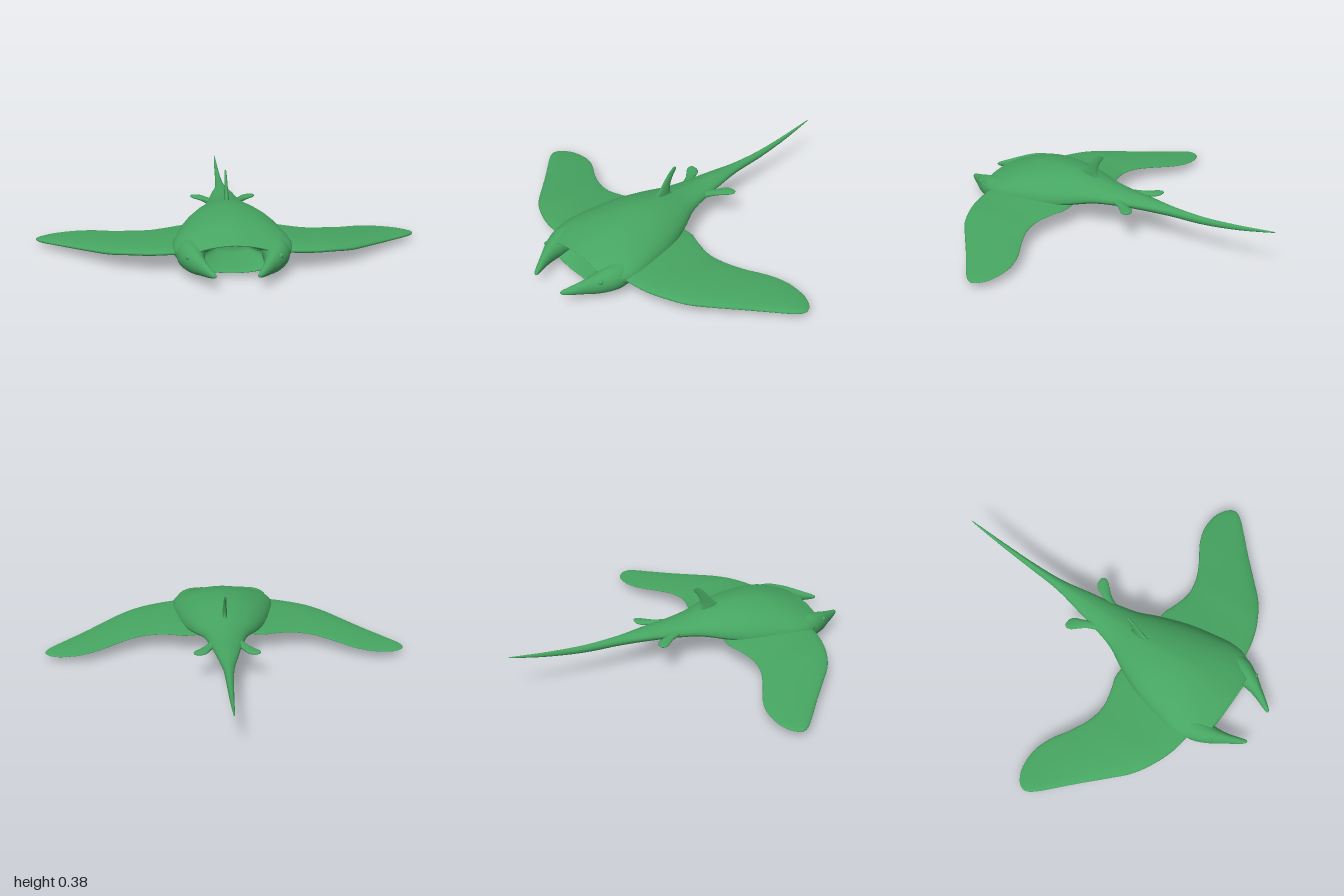
import * as THREE from 'three';

const green = new THREE.MeshStandardMaterial({ color: 0x46a561 });
green.name = 'rayGreen';

// Smoothly samples every column of a station table at t = 0..1
function sampler(stations) {
  const curves = stations[0].map((_, c) =>
    new THREE.SplineCurve(stations.map((s, i) => new THREE.Vector2(i, s[c]))));
  return t => curves.map(c => c.getPoint(t).y);
}

// Closed loft: ring(values, angle) gives a point on each cross-section; always faces outward
function loft(name, stations, ring, steps = 40, sides = 32) {
  const at = sampler(stations), pos = [], idx = [];
  for (let i = 0; i <= steps; i++) {
    const v = at(i / steps);
    for (let j = 0; j < sides; j++) pos.push(...ring(v, j / sides * Math.PI * 2));
  }
  for (let i = 0; i < steps; i++) for (let j = 0; j < sides; j++) {
    const a = i * sides + j, b = i * sides + (j + 1) % sides;
    idx.push(a, b, a + sides, b, b + sides, a + sides);
  }
  // End caps
  for (const [row, flip] of [[0, true], [steps, false]]) {
    const centre = pos.length / 3, sum = [0, 0, 0];
    for (let j = 0; j < sides; j++) for (let k = 0; k < 3; k++) sum[k] += pos[(row * sides + j) * 3 + k] / sides;
    pos.push(...sum);
    for (let j = 0; j < sides; j++) {
      const a = row * sides + j, b = row * sides + (j + 1) % sides;
      idx.push(centre, ...(flip ? [b, a] : [a, b]));
    }
  }
  // Signed volume tells whether the winding must be reversed
  const p = i => new THREE.Vector3().fromArray(pos, i * 3);
  let volume = 0;
  for (let i = 0; i < idx.length; i += 3) volume += p(idx[i]).dot(p(idx[i + 1]).cross(p(idx[i + 2])));
  if (volume < 0) idx.reverse();
  const g = new THREE.BufferGeometry();
  g.setAttribute('position', new THREE.Float32BufferAttribute(pos, 3));
  g.setIndex(idx);
  g.computeVertexNormals();
  const mesh = new THREE.Mesh(g, green);
  mesh.name = name;
  return mesh;
}

const power = (v, e) => Math.sign(v) * Math.abs(v) ** e;

export function createModel() {
  const model = new THREE.Group();
  model.name = 'mantaRay';

  // Body and tail: z, half width, top, bottom, height of the widest line.
  // The first rows run backwards from the throat to the lip.
  const body = [
    [0.56, 0.08, 0.13, 0.07, 0.10],
    [0.66, 0.13, 0.145, 0.06, 0.105],
    [0.75, 0.18, 0.16, 0.045, 0.11],
    [0.775, 0.205, 0.168, 0.034, 0.11],
    [0.755, 0.245, 0.178, 0.028, 0.11],
    [0.68, 0.285, 0.207, 0.017, 0.115],
    [0.60, 0.295, 0.234, 0.009, 0.115],
    [0.50, 0.28, 0.256, 0.015, 0.115],
    [0.35, 0.245, 0.265, 0.045, 0.12],
    [0.20, 0.185, 0.25, 0.10, 0.14],
    [0.08, 0.125, 0.23, 0.125, 0.16],
    [-0.05, 0.09, 0.217, 0.138, 0.17],
    [-0.20, 0.06, 0.211, 0.146, 0.178],
    [-0.36, 0.03, 0.203, 0.152, 0.178],
    [-0.55, 0.018, 0.2, 0.16, 0.18],
    [-0.75, 0.011, 0.215, 0.188, 0.2],
    [-0.93, 0.004, 0.236, 0.227, 0.232],
    [-0.965, 0.001, 0.24, 0.237, 0.239],
  ];
  model.add(loft('bodyAndTail', body, ([z, w, top, bottom, mid], a) => {
    const c = Math.cos(a), s = Math.sin(a);
    return [w * power(c, s > 0 ? 1.2 : 0.9), mid + (s > 0 ? top - mid : mid - bottom) * s, z];
  }, 110, 40));

  // Dorsal fin: y, front z, rear z, half thickness
  const dorsal = [
    [0.21, 0.27, 0.10, 0.014],
    [0.25, 0.245, 0.135, 0.013],
    [0.29, 0.205, 0.135, 0.010],
    [0.33, 0.172, 0.12, 0.008],
    [0.365, 0.14, 0.095, 0.006],
    [0.38, 0.12, 0.093, 0.005],
    [0.386, 0.108, 0.1, 0.002],
  ];
  model.add(loft('dorsalFin', dorsal, ([y, z0, z1, h], a) =>
    [h * Math.sin(a), y, (z0 + z1) / 2 + (z0 - z1) / 2 * Math.cos(a)], 24, 20));

  // Wing: x, leading z, trailing z, height, half thickness
  const wing = [
    [0.12, 0.66, 0.20, 0.115, 0.035],
    [0.22, 0.69, 0.19, 0.112, 0.032],
    [0.30, 0.69, 0.215, 0.108, 0.028],
    [0.40, 0.67, 0.235, 0.100, 0.027],
    [0.50, 0.63, 0.218, 0.093, 0.027],
    [0.60, 0.57, 0.17, 0.080, 0.026],
    [0.70, 0.475, 0.108, 0.068, 0.024],
    [0.80, 0.375, 0.073, 0.057, 0.021],
    [0.90, 0.28, 0.075, 0.048, 0.017],
    [0.96, 0.222, 0.098, 0.043, 0.014],
    [0.99, 0.185, 0.125, 0.041, 0.009],
    [1.00, 0.16, 0.147, 0.040, 0.003],
  ];

  // Head horn: z, centre x, half width, top, bottom
  const horn = [
    [0.64, 0.205, 0.070, 0.175, 0.04],
    [0.72, 0.205, 0.066, 0.168, 0.035],
    [0.80, 0.185, 0.047, 0.147, 0.040],
    [0.86, 0.158, 0.031, 0.125, 0.050],
    [0.91, 0.132, 0.022, 0.106, 0.057],
    [0.95, 0.110, 0.014, 0.09, 0.065],
    [0.963, 0.103, 0.005, 0.082, 0.071],
  ];

  // Pelvic fin: inner x and z, outer x and z, height, half thickness
  const pelvic = [
    [0.03, -0.06, 0.06, 0.05, 0.172, 0.022],
    [0.055, -0.08, 0.085, -0.02, 0.174, 0.018],
    [0.085, -0.125, 0.112, -0.08, 0.175, 0.014],
    [0.105, -0.17, 0.145, -0.12, 0.176, 0.011],
    [0.13, -0.19, 0.172, -0.15, 0.177, 0.009],
    [0.158, -0.192, 0.178, -0.172, 0.178, 0.006],
    [0.168, -0.19, 0.174, -0.184, 0.178, 0.002],
  ];

  for (const [side, s] of [['left', 1], ['right', -1]]) {
    model.add(loft(side + 'Wing', wing, ([x, z0, z1, y, h], a) => {
      const c = Math.cos(a);
      // Thicker towards the leading edge
      return [s * x, y + h * Math.sin(a) * (0.8 + 0.3 * c), (z0 + z1) / 2 + (z0 - z1) / 2 * c];
    }, 48, 32));

    model.add(loft(side + 'HeadHorn', horn, ([z, x, w, top, bottom], a) =>
      [s * (x + w * Math.cos(a)), (top + bottom) / 2 + (top - bottom) / 2 * Math.sin(a), z], 30, 24));

    model.add(loft(side + 'PelvicFin', pelvic, ([x0, z0, x1, z1, y, h], a) => {
      const k = (1 + Math.cos(a)) / 2;
      return [s * (x0 + (x1 - x0) * k), y + h * Math.sin(a), z0 + (z1 - z0) * k];
    }, 24, 20));

    const eye = new THREE.Mesh(new THREE.SphereGeometry(0.013, 16, 12), green);
    eye.name = side + 'Eye';
    eye.position.set(s * 0.218, 0.122, 0.8);
    model.add(eye);
  }
  return model;
}
